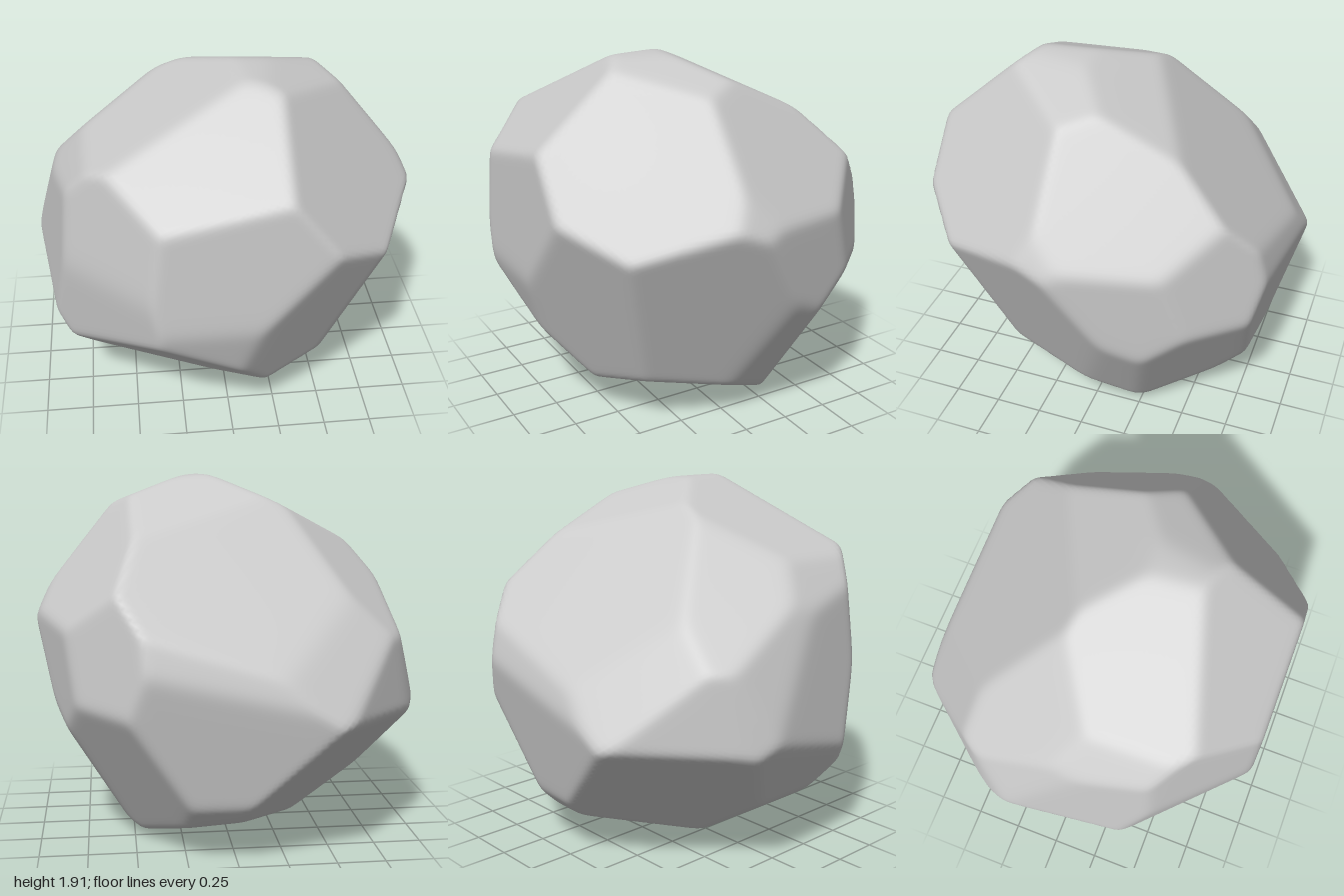
import * as THREE from 'three';
import { mergeVertices } from 'three/addons/utils/BufferGeometryUtils.js';

// Chiselled faces of the boulder: outward normal x, y, z and distance from its core
const FACES = [
  // front and front corners
  [0, 0.03, 1, 0.928], [0, -0.3, 0.953, 0.935], [-0.7, 0.11, 0.7, 0.942], [-0.7, -0.12, 0.7, 0.935],
  [0.46, -0.38, 0.8, 0.862], [-0.29, -0.705, 0.645, 0.859],
  // right side
  [0.877, -0.383, 0.29, 0.835], [0.683, 0.552, 0.48, 0.92], [0.75, 0.598, -0.285, 0.89], [0.915, 0.4, 0, 1.005],
  [0.945, -0.05, -0.3, 0.928], [0.86, -0.5, -0.05, 0.905], [0.65, -0.5, -0.57, 0.92], [0.72, 0.1, -0.68, 0.945],
  // top
  [-0.15, 0.74, 0.657, 0.969], [-0.43, 0.9, 0.05, 0.847], [0.05, 0.905, -0.42, 0.81],
  [-0.15, 0.68, -0.71, 0.69], [0.05, 1, 0, 0.96], [0.36, 0.93, 0.05, 0.97],
  // left side
  [-0.977, 0.1, 0.186, 0.915], [-0.95, 0.28, -0.1, 0.925], [-0.9, 0.1, -0.42, 0.995], [-0.77, 0.05, -0.635, 0.975],
  [-0.6, 0.7, -0.38, 0.8], [-0.8, 0.6, 0.05, 0.928], [-0.85, -0.52, 0, 0.965],
  // back
  [0.1, -0.2, -0.97, 0.905], [0, 0.25, -0.97, 0.88], [-0.36, 0.52, -0.776, 0.79],
  // underside
  [-0.53, -0.69, -0.5, 0.88], [-0.535, -0.845, 0, 0.94], [0.356, -0.89, 0.28, 0.897], [-0.35, -0.866, 0.35, 0.945],
  [-0.08, -0.95, -0.29, 0.912], [0.05, -0.72, -0.69, 1.015], [-0.03, -1, 0, 0.957],
];
const SHARPNESS = 100; // higher gives crisper ridges between faces

// Distance to the surface along a direction: a soft minimum over all faces
function reach(d) {
  let sum = 0;
  for (const [x, y, z, h] of FACES) {
    const facing = x * d.x + y * d.y + z * d.z;
    if (facing > 0.2) sum += Math.exp(-SHARPNESS * (h / facing));
  }
  return -Math.log(sum) / SHARPNESS;
}

export function createModel() {
  const group = new THREE.Group();
  group.name = 'rock';

  // Evenly divided ball, joined up so the normals come out smooth
  let geometry = new THREE.IcosahedronGeometry(1, 45);
  geometry.deleteAttribute('normal');
  geometry.deleteAttribute('uv');
  geometry = mergeVertices(geometry, 1e-5);

  // Carve the ball down to the faces
  const pos = geometry.attributes.position;
  const v = new THREE.Vector3();
  for (let i = 0; i < pos.count; i++) {
    v.fromBufferAttribute(pos, i).normalize();
    v.multiplyScalar(reach(v));
    pos.setXYZ(i, v.x, v.y, v.z);
  }
  geometry.computeVertexNormals();

  // Rest the boulder on the floor
  const boulder = new THREE.Mesh(geometry, new THREE.MeshStandardMaterial({ color: 0xcccccc }));
  boulder.name = 'boulder';
  boulder.position.y = 0.95;
  group.add(boulder);
  return group;
}
